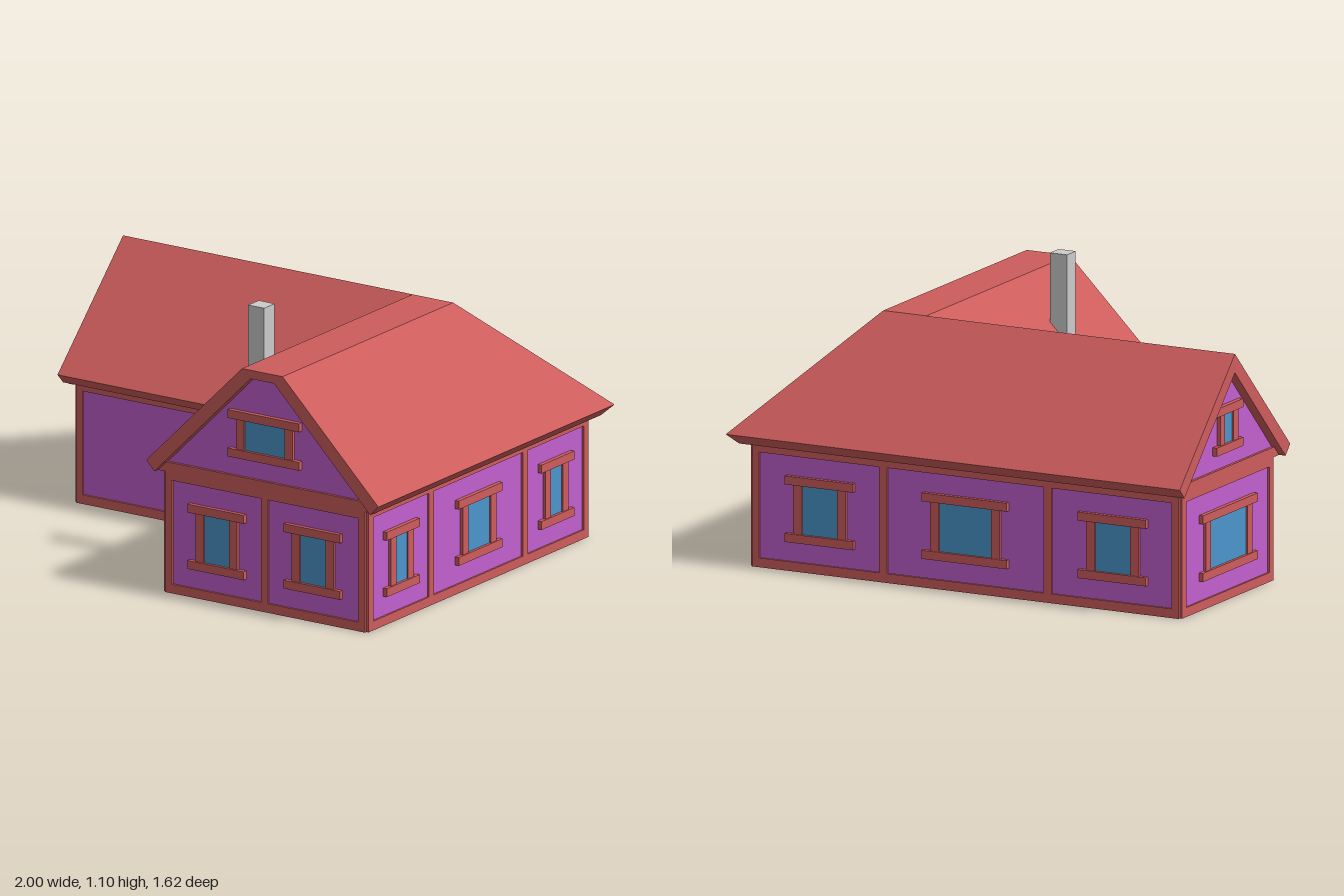
import * as THREE from 'three';

const mat = (color) => new THREE.MeshStandardMaterial({ color, flatShading: true });
const red = mat(0xcd5c5c), purple = mat(0xc25fcf), blue = mat(0x4b96cc), green = mat(0x6ecb4a), grey = mat(0xcccccc);

function add(parent, name, geometry, material) {
  const mesh = new THREE.Mesh(geometry, material);
  mesh.name = name;
  parent.add(mesh);
  return mesh;
}

// Box given by its limits
function block(parent, name, material, x0, x1, y0, y1, z0, z1) {
  const mesh = add(parent, name, new THREE.BoxGeometry(x1 - x0, y1 - y0, z1 - z0), material);
  mesh.position.set((x0 + x1) / 2, (y0 + y1) / 2, (z0 + z1) / 2);
  return mesh;
}

const polygon = (points) => new THREE.Shape(points.map(([x, y]) => new THREE.Vector2(x, y)));
const extrude = (shape, depth) => new THREE.ExtrudeGeometry(shape, { depth, bevelEnabled: false });

// Glass between two jambs, with a wide sill and lintel
function addWindow(parent, u, glassWidth, y0 = 0.15, y1 = 0.345, overhang = 0.0725) {
  const g = new THREE.Group();
  g.name = 'window';
  const h = glassWidth / 2, s = h + overhang;
  block(g, 'glass', blue, u - h, u + h, y0, y1, 0, 0.008);
  for (const side of [-1, 1]) {
    const c = u + side * (h + 0.019);
    block(g, 'jamb', red, c - 0.019, c + 0.019, y0, y1, 0, 0.015);
  }
  block(g, 'sill', red, u - s, u + s, y0 - 0.034, y0, 0, 0.02);
  block(g, 'lintel', red, u - s, u + s, y1, y1 + 0.034, 0, 0.02);
  parent.add(g);
}

// Wall side: timber frame with openings, panels set behind it, windows
function addWall(house, { name, position, turn, span, panels, windows = [] }) {
  const g = new THREE.Group();
  g.name = name;
  g.position.set(...position);
  g.rotation.y = turn;
  const [a, b] = span;
  const frame = polygon([[a, 0], [b, 0], [b, 0.52], [a, 0.52]]);
  for (const [p, q] of panels) {
    frame.holes.push(polygon([[p, 0.037], [p, 0.458], [q, 0.458], [q, 0.037]]));
    block(g, 'panel', purple, p, q, 0.037, 0.458, -0.005, 0.002);
  }
  add(g, 'timberFrame', extrude(frame, 0.01), red);
  for (const [u, w] of windows) addWindow(g, u, w);
  house.add(g);
  return g;
}

// Gable: panel under the roof slab with a beam along its foot
function addGable(wall, left, right, peak) {
  const slope = 0.04;
  add(wall, 'gablePanel', extrude(polygon([[left, 0.49], [right, 0.49], ...peak]), 0.012), purple).position.z = -0.012;
  const foot = polygon([[left, 0.49], [right, 0.49], [right - slope, 0.49 + slope], [left + slope, 0.49 + slope]]);
  add(wall, 'gableBeam', extrude(foot, 0.011), red);
}

// Roof slab: upper faces, matching lower faces and the rim between them
function roofGeometry() {
  const top = [
    [-1, 0.53, -0.81], [1, 0.53, -0.81], [1, 0.53, 0.81], [-0.09, 0.53, 0.81], [-0.09, 0.53, 0.09], [-1, 0.53, 0.09],
    [-1, 0.98, -0.36], [0.36, 0.98, -0.36], [0.55, 0.98, -0.36], [0.55, 0.98, 0.81], [0.36, 0.98, 0.81],
  ];
  const low = [
    [-1, 0.49, -0.772], [0.962, 0.49, -0.772], [0.962, 0.49, 0.81], [-0.052, 0.49, 0.81], [-0.052, 0.49, 0.052], [-1, 0.49, 0.052],
    [-1, 0.905, -0.36], [0.4, 0.905, -0.36], [0.51, 0.905, -0.36], [0.51, 0.945, 0.81], [0.4, 0.945, 0.81],
  ];
  const faces = [[5, 4, 7, 6], [4, 3, 10, 7], [7, 10, 9, 8], [2, 1, 8, 9], [1, 0, 6, 7, 8]];
  const rim = [5, 4, 3, 10, 9, 2, 1, 0, 6];
  const pos = [];
  const fan = (pts) => {
    for (let i = 1; i < pts.length - 1; i++) pos.push(...pts[0], ...pts[i], ...pts[i + 1]);
  };
  for (const f of faces) {
    fan(f.map((i) => top[i]));
    fan([...f].reverse().map((i) => low[i]));
  }
  rim.forEach((a, i) => {
    const b = rim[(i + 1) % rim.length];
    fan([top[b], top[a], low[a], low[b]]);
  });
  const g = new THREE.BufferGeometry();
  g.setAttribute('position', new THREE.Float32BufferAttribute(pos, 3));
  g.computeVertexNormals();
  return g;
}

export function createModel() {
  const house = new THREE.Group();
  house.name = 'house';

  // L-shaped body
  const plan = polygon([[-0.96, -0.01], [-0.02, -0.01], [-0.02, -0.775], [0.92, -0.775], [0.92, 0.735], [-0.96, 0.735]]);
  add(house, 'body', extrude(plan, 0.525).rotateX(-Math.PI / 2), red);

  // Walls, each measured along its own face
  const front = addWall(house, {
    name: 'wingFrontWall', position: [0, 0, 0.775], turn: 0, span: [-0.02, 0.92],
    panels: [[0.015, 0.432], [0.465, 0.888]], windows: [[0.225, 0.12], [0.677, 0.12]],
  });
  const entrance = addWall(house, {
    name: 'entranceWall', position: [0, 0, 0.01], turn: 0, span: [-0.96, -0.02], panels: [[-0.93, -0.06]],
  });
  addWall(house, {
    name: 'leftWall', position: [0.92, 0, 0], turn: Math.PI / 2, span: [-0.775, 0.735],
    panels: [[-0.74, -0.36], [-0.327, 0.284], [0.318, 0.702]],
    windows: [[-0.55, 0.08], [-0.02, 0.155], [0.51, 0.08]],
  });
  addWall(house, {
    name: 'backWall', position: [0, 0, -0.735], turn: Math.PI, span: [-0.92, 0.96],
    panels: [[-0.888, -0.36], [-0.325, 0.365], [0.4, 0.928]],
    windows: [[-0.62, 0.155], [0.02, 0.23], [0.67, 0.155]],
  });
  const end = addWall(house, {
    name: 'rightEndWall', position: [-0.96, 0, 0], turn: -Math.PI / 2, span: [-0.735, 0.01],
    panels: [[-0.7, -0.025]], windows: [[-0.36, 0.3]],
  });
  addWall(house, {
    name: 'wingInnerWall', position: [-0.02, 0, 0], turn: -Math.PI / 2, span: [0.02, 0.775], panels: [[0.06, 0.74]],
  });

  // Door
  block(entrance, 'door', green, -0.362, -0.21, 0.037, 0.385, 0, 0.008);
  block(entrance, 'doorJamb', red, -0.398, -0.362, 0.037, 0.385, 0, 0.015);
  block(entrance, 'doorJamb', red, -0.21, -0.175, 0.037, 0.385, 0, 0.015);
  block(entrance, 'doorLintel', red, -0.433, -0.135, 0.385, 0.418, 0, 0.02);

  // Gables
  addGable(front, -0.055, 0.965, [[0.51, 0.945], [0.4, 0.945]]);
  addWindow(front, 0.45, 0.19, 0.64, 0.762);
  addGable(end, -0.775, 0.055, [[-0.36, 0.905]]);
  addWindow(end, -0.36, 0.07, 0.625, 0.745);

  // Roof and chimney
  add(house, 'roof', roofGeometry(), red);
  block(house, 'chimney', grey, 0.13, 0.205, 0.7, 1.1, 0.36, 0.432);
  return house;
}
